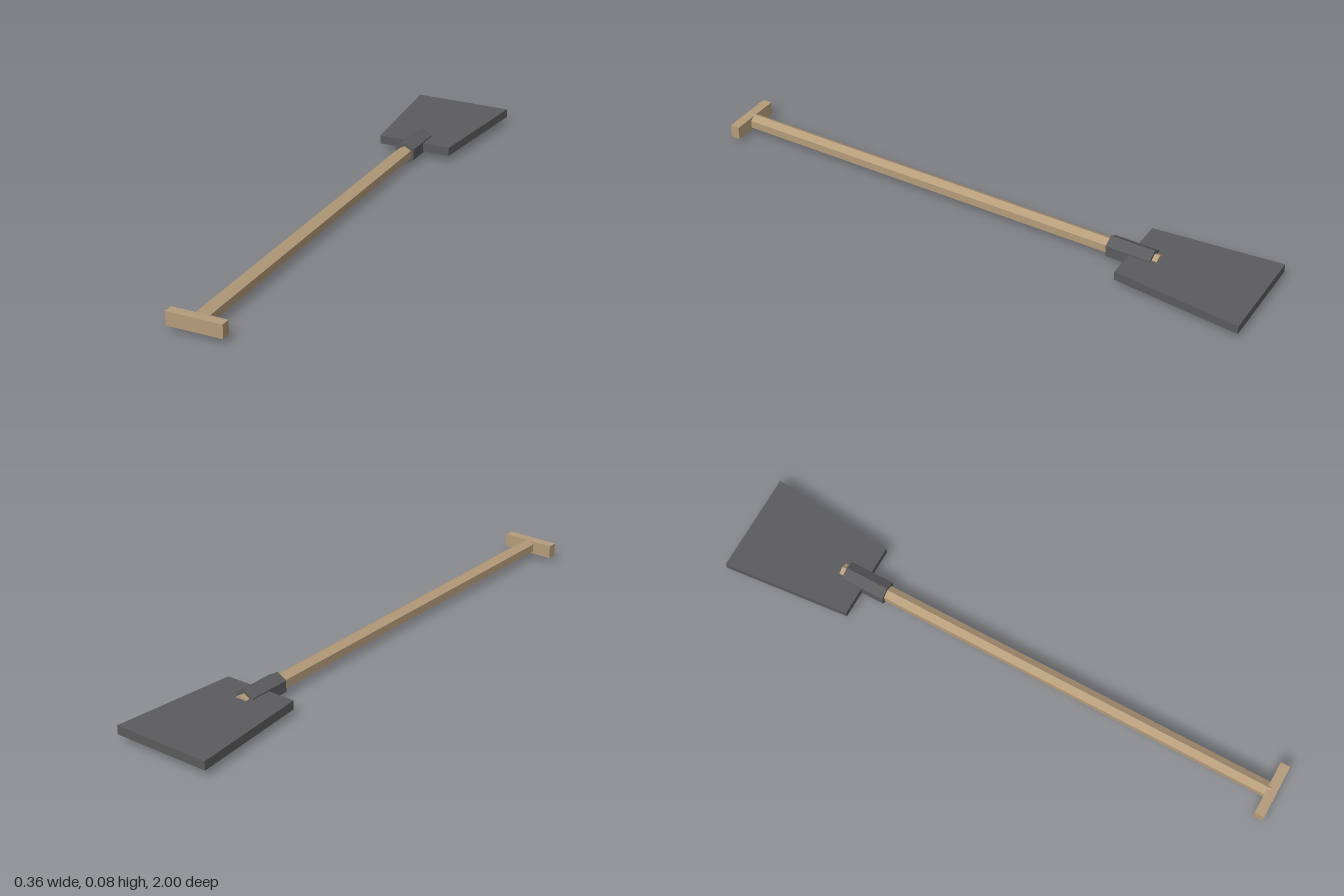
import * as THREE from 'three';

const AXIS_Y = 0.041; // height of the tool's long axis

export function createModel() {
  const model = new THREE.Group();
  model.name = 'shovel';

  const wood = new THREE.MeshStandardMaterial({ color: 0xb59c7b, flatShading: true });
  wood.name = 'wood';
  const iron = new THREE.MeshStandardMaterial({ color: 0x5b5b5d, flatShading: true });
  iron.name = 'iron';

  const add = (name, geometry, material) => {
    const mesh = new THREE.Mesh(geometry, material);
    mesh.name = name;
    model.add(mesh);
  };

  // Hexagonal bar along z with an edge pointing up
  const hexBar = (radius, zBack, zFront) =>
    new THREE.CylinderGeometry(radius, radius, zFront - zBack, 6)
      .rotateX(Math.PI / 2)
      .translate(0, AXIS_Y, (zFront + zBack) / 2);

  add('shaft', hexBar(0.028, -0.643, 0.98), wood);
  add('socket', hexBar(0.04, -0.625, -0.466), iron);

  // Crossbar grip at the front end
  add('grip', new THREE.BoxGeometry(0.194, 0.048, 0.034).translate(0, AXIS_Y + 0.001, 0.983), wood);

  // Blade widening towards its tip
  const outline = new THREE.Shape([
    new THREE.Vector2(-0.135, 0.549),
    new THREE.Vector2(0.135, 0.549),
    new THREE.Vector2(0.179, 1),
    new THREE.Vector2(-0.179, 1),
  ]);
  const thickness = 0.031;
  const blade = new THREE.ExtrudeGeometry(outline, { depth: thickness, bevelEnabled: false })
    .rotateX(-Math.PI / 2)
    .translate(0, AXIS_Y - thickness / 2, 0);
  add('blade', blade, iron);

  return model;
}
